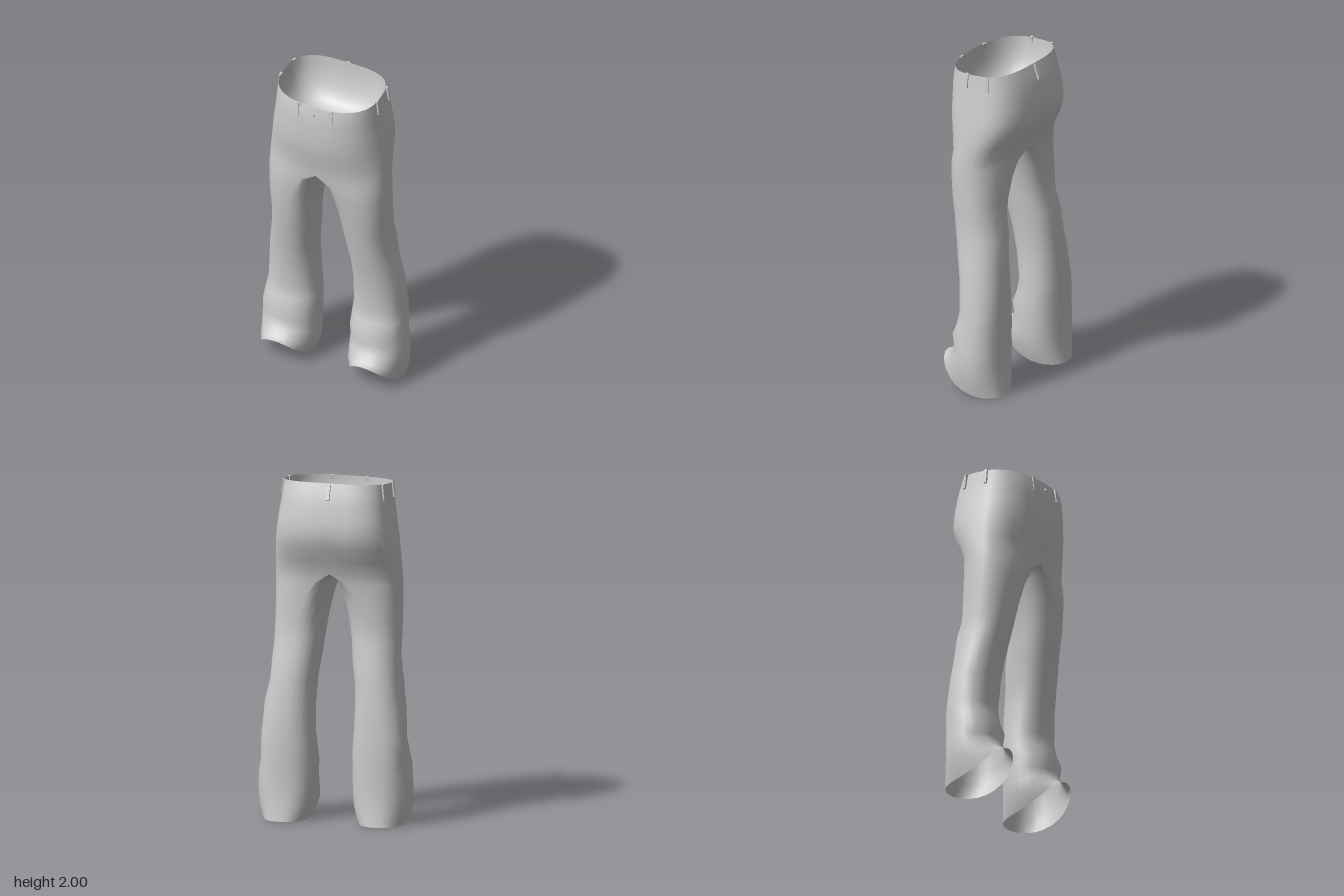
import * as THREE from 'three';
import { mergeVertices } from 'three/addons/utils/BufferGeometryUtils.js';

const mat = new THREE.MeshStandardMaterial({ color: 0xcccccc, side: THREE.DoubleSide });

// Cross-sections of one half: height, outer x, inner x, middle x, front z, back z
const rows = [
  [1.98, 0.31, 0, 0, 0.245, -0.195],
  [1.93, 0.316, 0, 0, 0.255, -0.215],
  [1.87, 0.322, 0, 0, 0.262, -0.235],
  [1.78, 0.337, 0, 0, 0.262, -0.252],
  [1.70, 0.349, 0, 0, 0.262, -0.26],
  [1.62, 0.359, 0, 0, 0.25, -0.24],
  [1.54, 0.367, 0, 0, 0.232, -0.2],
  [1.46, 0.373, 0, 0, 0.221, -0.168],
  [1.40, 0.376, 0.02, 0.1, 0.214, -0.152],
  [1.30, 0.376, 0.048, 0.16, 0.2, -0.142],
  [1.18, 0.375, 0.073, 0.2, 0.181, -0.136],
  [1.06, 0.373, 0.09, 0.22, 0.16, -0.136],
  [0.96, 0.379, 0.1, 0.235, 0.142, -0.163],
  [0.82, 0.396, 0.12, 0.25, 0.113, -0.173],
  [0.68, 0.415, 0.126, 0.265, 0.09, -0.19],
  [0.50, 0.434, 0.12, 0.28, 0.071, -0.198],
  [0.42, 0.443, 0.112, 0.285, 0.085, -0.2],
  [0.34, 0.448, 0.11, 0.285, 0.12, -0.2],
  [0.27, 0.453, 0.11, 0.285, 0.105, -0.2],
  [0.18, 0.455, 0.11, 0.285, 0.13, -0.2],
  [0.09, 0.45, 0.115, 0.285, 0.165, -0.206],
  [0, 0.43, 0.145, 0.285, 0.2, -0.22],
];
const CROTCH = 7; // row where the two legs part
const HALF = 14; // steps along the outer or the inner half of a section

// Rounded-rectangle section point; j runs front, outside, back, inside
function sectionPoint([y, out, inn, mid, zf, zb], j) {
  const a = (j / HALF) * Math.PI;
  const c = Math.cos(a), s = Math.sin(a);
  const upper = THREE.MathUtils.smoothstep(y, 1.3, 1.9);
  const p = 2 / (c > 0 ? 2.2 + 0.25 * upper : 2.3 + 0.8 * upper);
  const w = Math.pow(Math.abs(s), p);
  const cz = (zf + zb) / 2;
  // soft cloth folds below the knee
  const fold = y < 1.1 && y > 0.05 ? 0.006 * Math.sin(3 * a + 14 * y) * Math.abs(s) : 0;
  const x = s >= 0 ? mid + (out - mid + fold) * w : mid - (mid - inn) * w;
  const z = cz + ((zf - zb) / 2) * Math.sign(c) * Math.pow(Math.abs(c), p);
  // the waist rises to the back, the hem rises to the front
  let h = y;
  if (y > 1.8) h -= (z - 0.03) * 0.085 * ((y - 1.8) / 0.18);
  if (y < 0.3) h += 0.18 * Math.pow(Math.max(0, (z + 0.22) / 0.42), 3) * (1 - y / 0.3);
  return [Math.abs(x) < 1e-6 ? 0 : x, h, z];
}

function smoothGeometry(tris) {
  const g = new THREE.BufferGeometry();
  g.setAttribute('position', new THREE.Float32BufferAttribute(tris.flat(), 3));
  const m = mergeVertices(g, 1e-4);
  m.computeVertexNormals();
  return m;
}

// Adds a quad on both sides of the mirror plane
function addMirrored(tris, a, b, c, d) {
  const m = ([x, y, z]) => [-x, y, z];
  tris.push(a, c, b, b, c, d);
  tris.push(m(a), m(b), m(c), m(b), m(d), m(c));
}

function makeTrousers() {
  const tris = [];
  for (let i = 0; i < rows.length - 1; i++) {
    const steps = i < CROTCH ? HALF : HALF * 2;
    for (let j = 0; j < steps; j++) {
      addMirrored(tris, sectionPoint(rows[i], j), sectionPoint(rows[i], j + 1),
        sectionPoint(rows[i + 1], j), sectionPoint(rows[i + 1], j + 1));
    }
  }
  return smoothGeometry(tris);
}

// Bowl-shaped lining that closes the waist opening
function makeLining() {
  const tris = [], N = 10;
  const point = (k, j) => {
    const t = (k / N) * Math.PI / 2;
    const s = k === N ? 0 : Math.sqrt(Math.cos(t));
    const [x, y, z] = sectionPoint(rows[0], j);
    return [x * s, 1.98 + (y - 1.98) * s - 0.28 * Math.sin(t), 0.025 + (z - 0.025) * s];
  };
  for (let k = 0; k < N; k++) {
    for (let j = 0; j < HALF; j++) {
      // order swapped so the surface faces inward
      addMirrored(tris, point(k, j + 1), point(k, j), point(k + 1, j + 1), point(k + 1, j));
    }
  }
  return smoothGeometry(tris);
}

export function createModel() {
  const group = new THREE.Group();
  const add = (name, geo, x = 0, y = 0, z = 0) => {
    const mesh = new THREE.Mesh(geo, mat);
    mesh.name = name;
    mesh.position.set(x, y, z);
    group.add(mesh);
    return mesh;
  };

  add('trousers', makeTrousers());
  add('waistLining', makeLining());

  // Belt loops: x, y, z, turn about y, lean
  const loops = [
    [-0.103, 1.917, 0.246, -0.18, -0.12], [0.112, 1.917, 0.245, 0.18, -0.12],
    [0.313, 1.938, 0.045, 1.57, -0.12], [-0.314, 1.938, 0.055, -1.57, -0.12],
    [0.304, 1.945, -0.095, 1.9, -0.12], [-0.304, 1.945, -0.095, -1.9, -0.12],
    [-0.008, 1.95, -0.217, Math.PI, -0.36],
  ];
  const loopGeo = new THREE.BoxGeometry(0.02, 0.09, 0.014);
  for (const [x, y, z, turn, lean] of loops) {
    add('beltLoop', loopGeo, x, y, z).rotation.set(lean, turn, 0, 'YXZ');
  }

  // Waist button
  const button = add('button', new THREE.CylinderGeometry(0.011, 0.013, 0.01, 12), 0, 1.912, 0.259);
  button.rotation.x = Math.PI / 2 - 0.12;

  return group;
}
